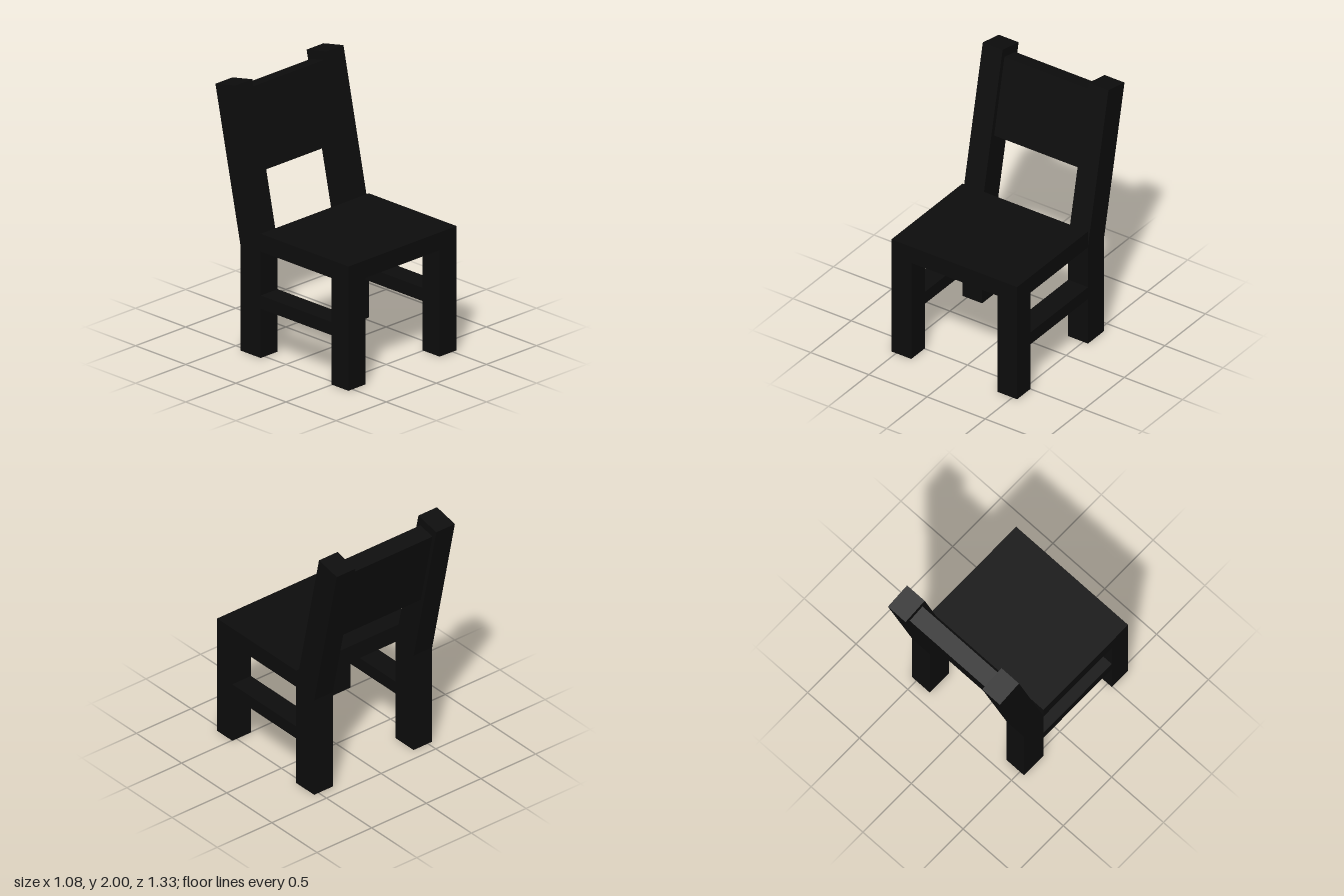
import * as THREE from 'three';

export function createModel() {
  const chair = new THREE.Group();
  chair.name = 'chair';
  const blackWood = new THREE.MeshStandardMaterial({ color: 0x0d0d0d });
  blackWood.name = 'blackWood';

  const add = (name, geometry) => {
    const mesh = new THREE.Mesh(geometry, blackWood);
    mesh.name = name;
    chair.add(mesh);
  };

  // Box given by its lower and upper limits
  const box = (name, [x0, y0, z0], [x1, y1, z1]) => {
    const g = new THREE.BoxGeometry(x1 - x0, y1 - y0, z1 - z0);
    add(name, g.translate((x0 + x1) / 2, (y0 + y1) / 2, (z0 + z1) / 2));
  };

  // Side profile of [z, y] points, extruded along x and centred at x
  const profile = (name, points, width, x) => {
    const shape = new THREE.Shape(points.map(([z, y]) => new THREE.Vector2(z, y)));
    const g = new THREE.ExtrudeGeometry(shape, { depth: width, bevelEnabled: false });
    add(name, g.translate(0, 0, -width / 2).rotateY(-Math.PI / 2).translate(x, 0, 0));
  };

  box('seat', [-0.54, 0.81, -0.212], [0.54, 0.945, 0.663]);

  for (const [side, x] of [['left', 0.455], ['right', -0.455]]) {
    const x0 = x - 0.085, x1 = x + 0.085;
    box(side + 'FrontLeg', [x0, 0, 0.495], [x1, 0.81, 0.663]);
    box(side + 'SideRail', [x0, 0.375, -0.212], [x1, 0.475, 0.495]);
    // Rear leg continues into the leaning back post
    profile(side + 'RearPost', [
      [-0.212, 0], [-0.212, 0.82], [-0.465, 2], [-0.663, 1.958], [-0.412, 0.795], [-0.412, 0],
    ], 0.17, x);
  }

  // Leaning back panel between the posts
  profile('backPanel', [
    [-0.36, 1.335], [-0.488, 1.93], [-0.62, 1.9], [-0.492, 1.305],
  ], 0.74, 0);

  return chair;
}
